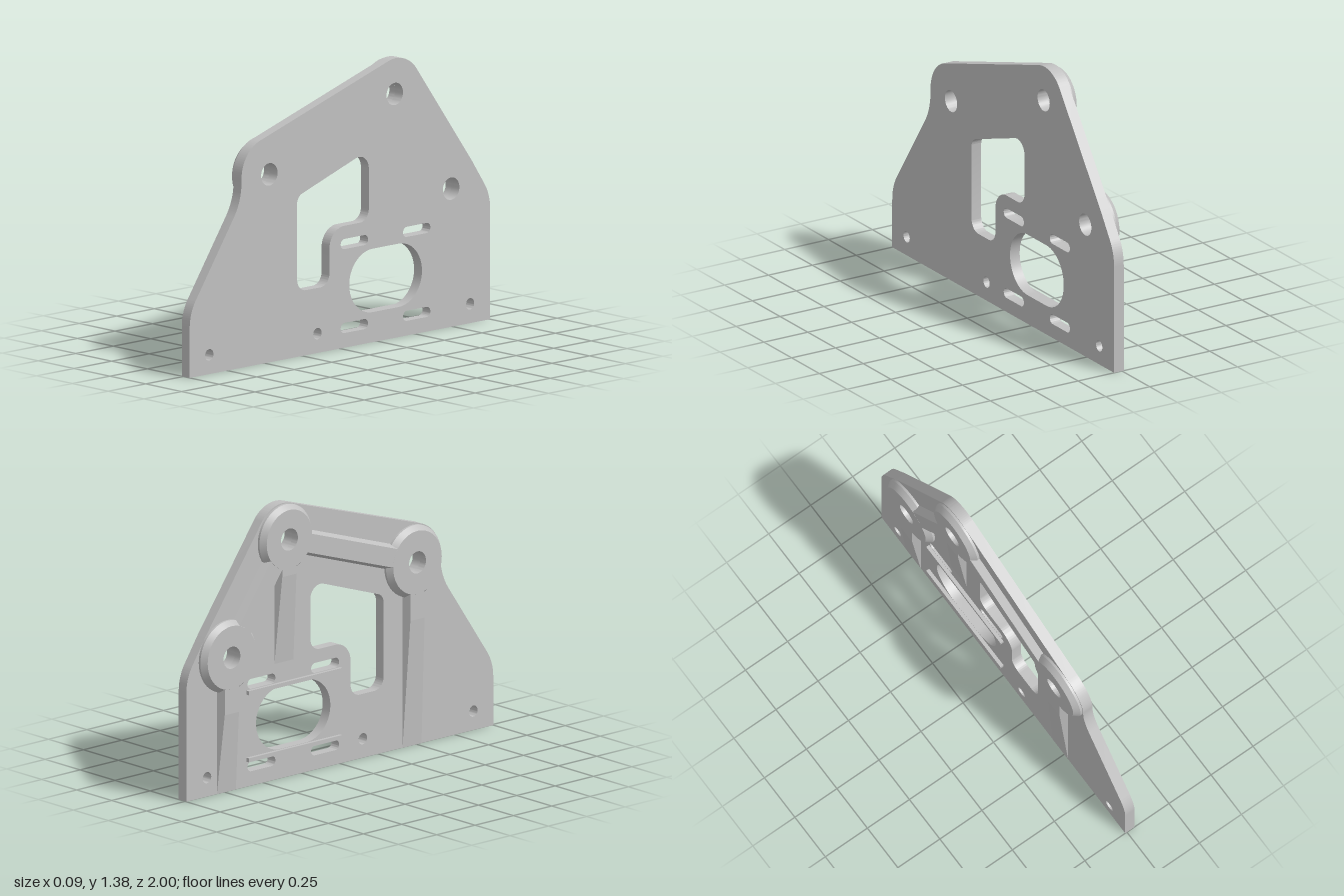
import * as THREE from 'three';
import { toCreasedNormals } from 'three/addons/utils/BufferGeometryUtils.js';

// Layout plane: u runs toward -z, y is up. The raised details stand on the -x face.
const FACE = -0.01, THICK = 0.055, RAISE = 0.04;

// Closed path through corners [u, y, radius], each rounded with a true arc
function rounded(corners, path) {
  const n = corners.length;
  corners.forEach(([u, y, r], i) => {
    const c = new THREE.Vector2(u, y);
    const a = new THREE.Vector2(...corners[(i + n - 1) % n]).sub(c).normalize();
    const b = new THREE.Vector2(...corners[(i + 1) % n]).sub(c).normalize();
    if (!r) {
      if (i) path.lineTo(u, y); else path.moveTo(u, y);
      return;
    }
    const half = Math.acos(a.dot(b)) / 2;
    const t = r / Math.tan(half);
    const o = a.clone().add(b).normalize().multiplyScalar(r / Math.sin(half)).add(c);
    const s = a.clone().multiplyScalar(t).add(c);
    const e = b.clone().multiplyScalar(t).add(c);
    if (i) path.lineTo(s.x, s.y); else path.moveTo(s.x, s.y);
    path.absarc(o.x, o.y, r, Math.atan2(s.y - o.y, s.x - o.x),
      Math.atan2(e.y - o.y, e.x - o.x), a.cross(b) > 0);
  });
  path.closePath();
  return path;
}

function circle(u, y, r) {
  return new THREE.Path().absarc(u, y, r, 0, Math.PI * 2, true);
}

function slot(u0, u1, y0, y1) {
  const r = (y1 - y0) / 2;
  const p = new THREE.Path();
  p.absarc(u0 + r, y0 + r, r, Math.PI / 2, Math.PI * 1.5, false);
  p.absarc(u1 - r, y0 + r, r, -Math.PI / 2, Math.PI / 2, false);
  p.closePath();
  return p;
}

// Rib with sloping sides through stations [u, y, height]
function ribGeometry(stations) {
  const [p, q] = [stations[0], stations[stations.length - 1]];
  const d = new THREE.Vector2(q[0] - p[0], q[1] - p[1]).normalize();
  const sections = stations.map(([u, y, h]) => {
    const top = 0.062 - 0.4 * h;
    return [[0.062, 0], [top, h], [-top, h], [-0.062, 0]].map(([w, k]) =>
      [FACE - k, y + d.x * w, -(u - d.y * w)]);
  });
  const pos = [];
  for (let i = 0; i + 1 < sections.length; i++) {
    const a = sections[i], b = sections[i + 1];
    for (let j = 0; j < 3; j++) {
      pos.push(...a[j], ...b[j], ...b[j + 1], ...a[j], ...b[j + 1], ...a[j + 1]);
    }
  }
  const g = new THREE.BufferGeometry();
  g.setAttribute('position', new THREE.Float32BufferAttribute(pos, 3));
  g.computeVertexNormals();
  return g;
}

export function createModel() {
  const model = new THREE.Group();
  const grey = new THREE.MeshStandardMaterial({ color: 0xc0c0c0 });
  grey.name = 'plain grey';
  const add = (name, geometry) => {
    const m = new THREE.Mesh(geometry, grey);
    m.name = name;
    model.add(m);
    return m;
  };

  // Boss centres and outer radii
  const A = [-0.47, 0.925, 0.18], B = [0.365, 1.2, 0.17], C = [0.74, 0.68, 0.18];
  const bosses = [A, B, C];

  // Plate with all its openings
  const outline = rounded([
    [-1, 0, 0], [1, 0, 0], [1, 0.615, 0.23], [0.877, 0.8, 0.4],
    [0.438, 1.404, 0.17], [-0.655, 1.061, 0.18], [-0.655, 0.821, 0.3], [-1, 0.316, 0.23],
  ], new THREE.Shape());
  outline.holes.push(rounded([
    [-0.285, 0.32, 0.06], [-0.07, 0.32, 0.06], [-0.07, 0.6, 0.1],
    [0.192, 0.6, 0.06], [0.192, 0.95, 0.065], [-0.285, 0.788, 0.05],
  ], new THREE.Path()));
  outline.holes.push(slot(0.062, 0.546, 0.148, 0.46));
  for (const y of [0.51, 0.097]) {
    for (const u of [0.005, 0.42]) outline.holes.push(slot(u, u + 0.182, y - 0.025, y + 0.025));
  }
  for (const [u, y] of bosses) outline.holes.push(circle(u, y, 0.055));
  for (const u of [-0.87, -0.15, 0.866]) outline.holes.push(circle(u, 0.095, 0.028));

  const plate = new THREE.ExtrudeGeometry(outline, { depth: THICK, bevelEnabled: false, curveSegments: 20 });
  plate.rotateY(Math.PI / 2);
  plate.translate(FACE, 0, 0);
  add('plate', toCreasedNormals(plate, 0.5));

  // Chamfered ring bosses around the three large holes
  for (const [u, y, r] of bosses) {
    const profile = [[r, 0], [r, 0.012], [r - 0.022, RAISE], [0.055, RAISE], [0.055, 0]]
      .map(([a, b]) => new THREE.Vector2(a, b));
    const g = new THREE.LatheGeometry(profile, 48);
    g.rotateZ(Math.PI / 2);
    g.translate(FACE, y, -u);
    add('boss', toCreasedNormals(g, 0.5));
  }

  // Ribs joining neighbouring bosses, stopping short of the holes
  for (const [p, q] of [[A, B], [B, C]]) {
    const len = Math.hypot(q[0] - p[0], q[1] - p[1]);
    const at = (t) => [p[0] + (q[0] - p[0]) * t, p[1] + (q[1] - p[1]) * t, RAISE - 0.0005];
    add('linkRib', ribGeometry([at(0.13 / len), at(1 - 0.13 / len)]));
  }

  // Ribs running down from each boss and tapering into the plate
  for (const [[u, y], start, end] of [[A, 0.64, 0], [B, 1.02, 0.58], [C, 0.4, 0]]) {
    add('taperedRib', ribGeometry([
      [u, y - 0.13, RAISE - 0.0005], [u, start, RAISE - 0.0005], [u, end, 0.0005],
    ]));
  }

  // Thin rails between the slots and the oval window
  for (const y of [0.472, 0.136]) {
    const rail = add('slotRail', new THREE.BoxGeometry(0.018, 0.02, 0.61));
    rail.position.set(FACE - 0.009, y, -0.304);
  }
  return model;
}
